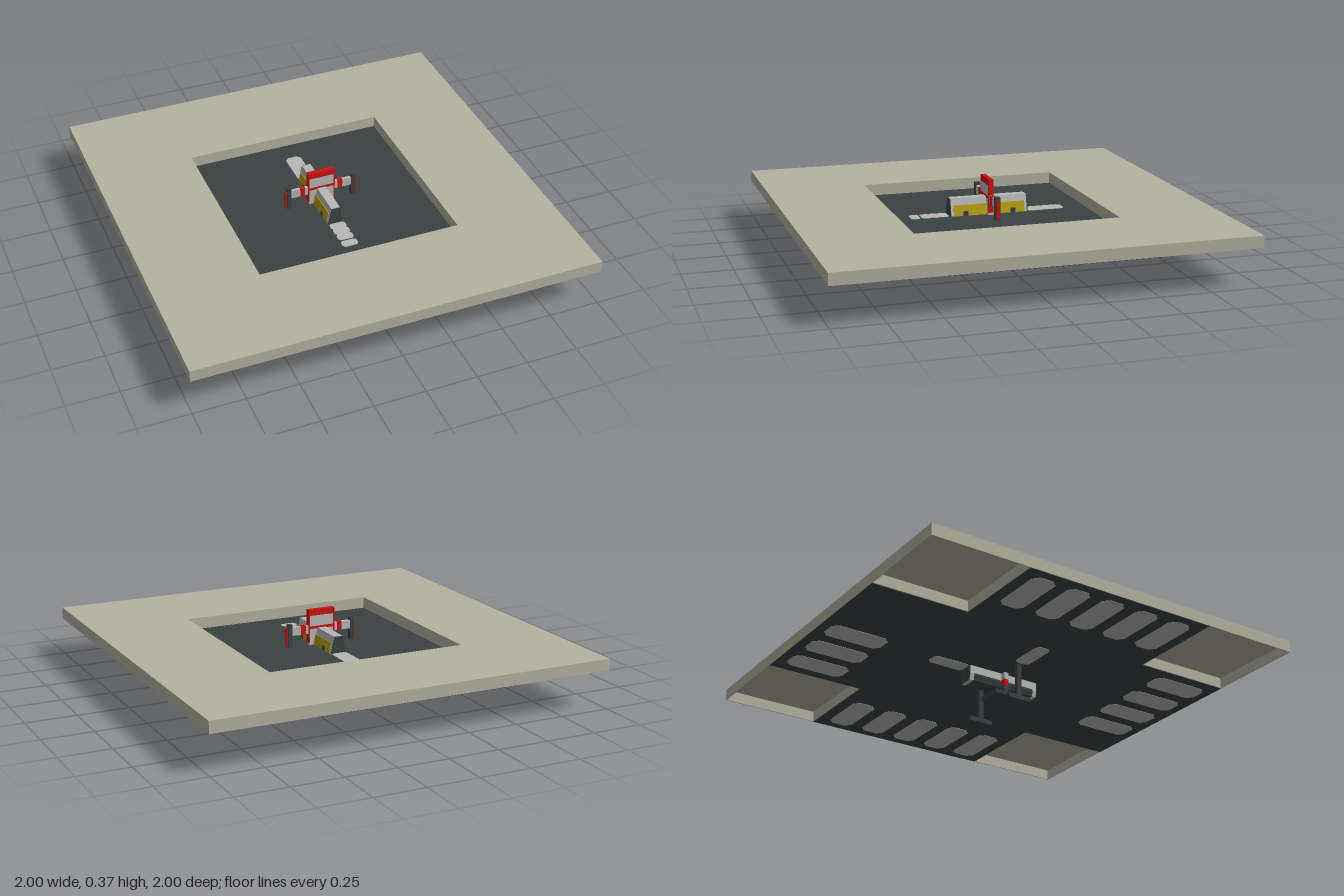
import * as THREE from 'three';

const mat = (name, color) => {
  const m = new THREE.MeshStandardMaterial({ color });
  m.name = name;
  return m;
};

export function createModel() {
  const stone = mat('stone', 0xb4b2a0), dark = mat('asphalt', 0x3a4242);
  const grey = mat('paleGrey', 0xb8b8b8), red = mat('red', 0xcc1212), yellow = mat('yellow', 0xb59e12);
  const root = new THREE.Group();

  const add = (parent, name, geo, m, x = 0, y = 0, z = 0) => {
    const mesh = new THREE.Mesh(geo, m);
    mesh.name = name;
    mesh.position.set(x, y, z);
    parent.add(mesh);
    return mesh;
  };
  // Box given by its lower and upper limits
  const box = (parent, name, m, x0, x1, y0, y1, z0, z1) =>
    add(parent, name, new THREE.BoxGeometry(x1 - x0, y1 - y0, z1 - z0), m,
      (x0 + x1) / 2, (y0 + y1) / 2, (z0 + z1) / 2);
  const group = (name) => {
    const g = new THREE.Group();
    g.name = name;
    root.add(g);
    return g;
  };

  // Raised square frame, hollow below
  const frame = group('pavementFrame');
  const square = (s) => [[-s, -s], [s, -s], [s, s], [-s, s]].map((p) => new THREE.Vector2(...p));
  const top = new THREE.Shape(square(1));
  top.holes.push(new THREE.Path(square(0.5)));
  const topGeo = new THREE.ExtrudeGeometry(top, { depth: 0.004, bevelEnabled: false });
  topGeo.rotateX(-Math.PI / 2);
  add(frame, 'pavementTop', topGeo, stone, 0, 0.241, 0);
  for (const s of [-1, 1]) {
    for (const d of [0.502, 0.998]) {
      box(frame, 'kerbWall', stone, s * d - 0.002, s * d + 0.002, 0.187, 0.243, -1, 1);
      box(frame, 'kerbWall', stone, -1, 1, 0.187, 0.243, s * d - 0.002, s * d + 0.002);
    }
  }

  // Cross-shaped road
  const road = group('road');
  box(road, 'roadAlongZ', dark, -0.5, 0.5, 0.185, 0.188, -0.998, 0.998);
  for (const s of [-1, 1])
    box(road, 'roadArm', dark, s * 0.749 - 0.249, s * 0.749 + 0.249, 0.185, 0.188, -0.5, 0.5);

  // Painted markings with clipped corners
  const marking = (name, w, l, x, y, z) => {
    const a = w / 2, b = l / 2, c = Math.min(w, l) * 0.22;
    const pts = [[-a + c, -b], [a - c, -b], [a, -b + c], [a, b - c], [a - c, b], [-a + c, b], [-a, b - c], [-a, -b + c]];
    const g = new THREE.ExtrudeGeometry(new THREE.Shape(pts.map((p) => new THREE.Vector2(...p))),
      { depth: 0.002, bevelEnabled: false });
    g.rotateX(-Math.PI / 2);
    add(road, name, g, grey, x, y, z);
  };
  for (let i = -2; i <= 2; i++) {
    const t = i * 0.19;
    for (const s of [-1, 1]) marking('crossingStripe', 0.3, 0.125, s * 0.8, 0.1835, t);
    if (i >= 0) marking('crossingStripe', 0.125, 0.3, t, 0.1835, -0.8);
    if (i <= 1) marking('crossingStripe', 0.125, 0.3, t, 0.1835, 0.8);
  }
  marking('laneDash', 0.08, 0.2, 0, 0.1875, -0.29);
  marking('laneDash', 0.08, 0.2, 0, 0.1835, -0.29);
  marking('laneDash', 0.2, 0.08, -0.29, 0.1835, 0);
  for (const z of [0.225, 0.268, 0.314, 0.368]) marking('laneDash', 0.08, 0.046, 0, 0.1875, z);

  // Long faceted body
  const body = group('body');
  const prism = (name, half, depth, m) => {
    const pts = [...half, ...half.map(([x, y]) => [-x, y]).reverse()];
    const g = new THREE.ExtrudeGeometry(new THREE.Shape(pts.map((p) => new THREE.Vector2(...p))),
      { depth, bevelEnabled: false });
    return add(body, name, g, m, 0, 0, -depth / 2);
  };
  const section = [[0.036, 0.11], [0.043, 0.14], [0.042, 0.185], [0.022, 0.272]];
  prism('hull', section, 0.386, grey);
  prism('endCaps', section.map(([x, y]) => [x * 0.97, y < 0.12 ? y + 0.001 : y - 0.001]), 0.394, dark);
  prism('yellowFlanks', [[0.044, 0.187], [0.033, 0.24]], 0.36, yellow);
  prism('lowerSkirt', [[0.038, 0.109], [0.046, 0.135], [0.045, 0.145]], 0.34, dark);
  for (const z of [-0.12, 0.12])
    for (const s of [-1, 1])
      box(body, 'flankClip', dark, s * 0.04 - 0.005, s * 0.04 + 0.005, 0.188, 0.21, z - 0.012, z + 0.012);

  // Upright panel across the body, with red and grey bands
  const panel = group('crossPanel');
  const bands = [[0.335, 0.365, red], [0.282, 0.335, grey], [0.268, 0.282, red],
    [0.15, 0.268, grey], [0.115, 0.15, red], [0.085, 0.115, dark]];
  for (const [y0, y1, m] of bands) box(panel, 'panelBand', m, -0.066, 0.066, y0, y1, -0.012, 0.012);
  for (const s of [-1, 1])
    box(panel, 'panelEdge', red, s * 0.066 - 0.003, s * 0.066 + 0.003, 0.2, 0.364, -0.013, 0.013);
  box(panel, 'lowerPlate', dark, -0.066, 0.066, 0.065, 0.085, -0.06, 0.06);

  // Side arms, tip posts and feet
  for (const s of [-1, 1]) {
    const arm = group(s > 0 ? 'leftArm' : 'rightArm');
    const part = (name, m, a, b, y0, y1, d) =>
      box(arm, name, m, Math.min(s * a, s * b), Math.max(s * a, s * b), y0, y1, -d, d);
    part('armBeam', grey, 0.064, 0.16, 0.245, 0.287, 0.008);
    part('armBand', red, 0.085, 0.11, 0.242, 0.289, 0.01);
    part('tipPost', dark, 0.157, 0.179, 0, 0.302, 0.012);
    part('tipPlate', red, 0.179, 0.187, 0.195, 0.287, 0.008);
    part('foot', dark, 0.157, 0.179, 0, 0.022, 0.062);
  }
  return root;
}
